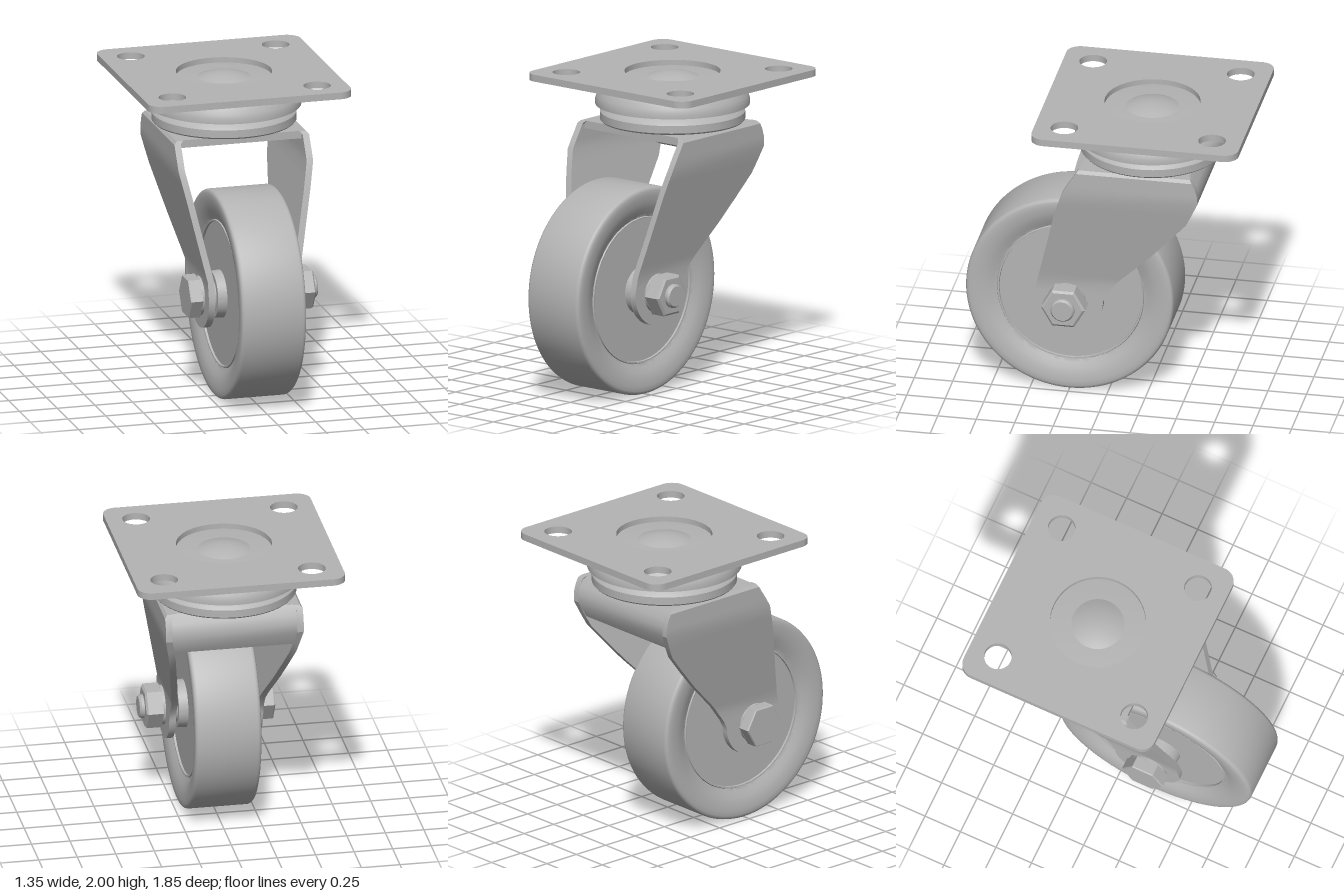
import * as THREE from 'three';
import { toCreasedNormals } from 'three/addons/utils/BufferGeometryUtils.js';

const steel = new THREE.MeshStandardMaterial({ color: 0xb4b4b4 });
steel.name = 'grey steel';

const SWIVEL_Z = -0.25, AXLE_Y = 0.675, AXLE_Z = 0.25;

function part(name, geometry, crease = 0.5) {
  const mesh = new THREE.Mesh(toCreasedNormals(geometry, crease), steel);
  mesh.name = name;
  return mesh;
}

// Turned part about the vertical swivel axis; profile runs bottom to top
function turned(name, profile, segments = 64) {
  const g = new THREE.LatheGeometry(profile.map(p => new THREE.Vector2(...p)), segments);
  const mesh = part(name, g);
  mesh.position.z = SWIVEL_Z;
  return mesh;
}

// Turned part about the axle; profile is [radius, x] with x rising
function axlePart(name, profile, segments = 48) {
  const g = new THREE.LatheGeometry(profile.map(p => new THREE.Vector2(...p)), segments);
  g.rotateZ(-Math.PI / 2);
  const mesh = part(name, g);
  mesh.position.set(0, AXLE_Y, AXLE_Z);
  return mesh;
}

// Rounded mounting plate with four bolt holes and a central opening
function mountingPlate() {
  const w = 0.673, r = 0.09, s = new THREE.Shape();
  [[1, 1, 0], [-1, 1, 0.5], [-1, -1, 1], [1, -1, 1.5]].forEach(([x, y, a]) =>
    s.absarc(x * (w - r), y * (w - r), r, a * Math.PI, (a + 0.5) * Math.PI, false));
  const hole = (x, y, radius) => s.holes.push(new THREE.Path().absarc(x, y, radius, 0, Math.PI * 2, true));
  for (const x of [-0.48, 0.48]) for (const y of [-0.48, 0.48]) hole(x, y, 0.088);
  hole(0, 0, 0.307);
  const g = new THREE.ExtrudeGeometry(s, { depth: 0.045, bevelEnabled: false, curveSegments: 24 });
  g.rotateX(-Math.PI / 2);
  const mesh = part('mountingPlate', g);
  mesh.position.set(0, 1.955, SWIVEL_Z);
  return mesh;
}

// Outer face of a fork leg at a given height
function legX(y) {
  if (y > 1.66) return 0.45 - (y - 1.66);
  if (y > 1.51) return 0.447;
  return 0.305 + 0.142 * Math.max(0, (y - 0.81) / 0.7);
}

// Bent fork leg lofted from horizontal sections [y, front z, back z]
function forkLeg(side) {
  const rows = [];
  for (let i = 0; i <= 12; i++) {
    const a = (i / 12) * Math.PI / 2, dz = 0.226 * Math.sin(a) + 0.001;
    rows.push([0.69 - 0.225 * Math.cos(a), 0.24 + dz, 0.24 - dz]);
  }
  rows.push([0.74, 0.457, -0.01], [0.81, 0.44, -0.06], [0.87, 0.425, -0.11], [0.95, 0.405, -0.19],
    [1.06, 0.378, -0.3], [1.2, 0.344, -0.425], [1.34, 0.31, -0.545], [1.42, 0.285, -0.585],
    [1.51, 0.255, -0.625], [1.57, 0.22, -0.625], [1.62, 0.187, -0.61], [1.66, 0.163, -0.59], [1.68, 0.15, -0.575]);
  const pos = [], idx = [];
  for (const [y, f, b] of rows) {
    const o = legX(y), i = Math.min(o, 0.447) - 0.043;
    pos.push(o * side, y, f, o * side, y, b, i * side, y, b, i * side, y, f);
  }
  const quad = (a, b, c, d) => side > 0 ? idx.push(a, b, c, a, c, d) : idx.push(a, c, b, a, d, c);
  for (let r = 0; r < rows.length - 1; r++)
    for (let k = 0; k < 4; k++) {
      const n = (k + 1) % 4;
      quad(r * 4 + k, r * 4 + n, r * 4 + 4 + n, r * 4 + 4 + k);
    }
  const t = (rows.length - 1) * 4;
  quad(3, 2, 1, 0);
  quad(t, t + 1, t + 2, t + 3);
  const g = new THREE.BufferGeometry();
  g.setAttribute('position', new THREE.Float32BufferAttribute(pos, 3));
  g.setIndex(idx);
  return part(side > 0 ? 'leftForkLeg' : 'rightForkLeg', g, 0.4);
}

// Fork crown: top plate folded down into the rear wall, as a [z, y] section
function forkCrown() {
  const s = new THREE.Shape([[0.14, 1.63], [0.14, 1.68], [-0.565, 1.68], [-0.61, 1.62], [-0.625, 1.57],
    [-0.625, 1.51], [-0.575, 1.41], [-0.535, 1.43], [-0.58, 1.515], [-0.58, 1.57], [-0.565, 1.605], [-0.545, 1.63]]
    .map(p => new THREE.Vector2(...p)));
  const g = new THREE.ExtrudeGeometry(s, { depth: 0.81, bevelEnabled: false });
  g.translate(0, 0, -0.405).rotateY(-Math.PI / 2);
  return part('forkCrown', g);
}

export function createModel() {
  const model = new THREE.Group();
  model.name = 'swivelCaster';
  model.add(mountingPlate());

  // Swivel bearing
  model.add(turned('upperRace', [[0, 1.83], [0.43, 1.83], [0.45, 1.79], [0.494, 1.79], [0.494, 1.82], [0.485, 1.85],
    [0.465, 1.885], [0.435, 1.925], [0.4, 1.955], [0.32, 1.965], [0, 1.965]]));
  model.add(turned('lowerRace', [[0, 1.68], [0.455, 1.68], [0.464, 1.69], [0.464, 1.74], [0.452, 1.755],
    [0.42, 1.778], [0.38, 1.77], [0.35, 1.77], [0.35, 1.84]]));
  const balls = new THREE.Group();
  balls.name = 'bearingBalls';
  const ballGeometry = new THREE.SphereGeometry(0.034, 14, 10);
  for (let i = 0; i < 28; i++) {
    const a = (i / 28) * Math.PI * 2;
    const ball = new THREE.Mesh(ballGeometry, steel);
    ball.name = 'bearingBall';
    ball.position.set(0.405 * Math.cos(a), 1.802, SWIVEL_Z + 0.405 * Math.sin(a));
    balls.add(ball);
  }
  model.add(balls);

  // Domed pin head above, flat pin head below the crown
  const dome = [];
  for (let i = 0; i <= 8; i++) {
    const t = i / 8;
    dome.push([0.175 * (1 - t), 1.963 + 0.035 * (1 - (1 - t) ** 2)]);
  }
  model.add(turned('pinHead', dome));
  model.add(turned('pinFoot', [[0, 1.595], [0.145, 1.595], [0.16, 1.605], [0.16, 1.64]]));

  // Fork
  model.add(forkCrown(), forkLeg(1), forkLeg(-1));

  // Wheel: hub boss, recessed disc, dished side and rounded tread, mirrored
  const half = [[0, 0.225], [0.15, 0.225], [0.155, 0.165], [0.462, 0.165], [0.464, 0.178], [0.474, 0.178],
    [0.478, 0.17], [0.5, 0.18], [0.535, 0.197], [0.575, 0.209], [0.62, 0.215], [0.65, 0.215],
    [0.663, 0.211], [0.671, 0.203], [0.675, 0.19]];
  const wheelProfile = [...half.map(([r, x]) => [r, -x]), ...half.slice().reverse()];
  model.add(axlePart('wheel', wheelProfile, 96));

  // Axle hardware
  for (const s of [-1, 1]) {
    const x0 = s > 0 ? 0.2 : -0.265;
    model.add(axlePart('spacer', [[0, x0], [0.115, x0], [0.115, x0 + 0.065], [0, x0 + 0.065]]));
    const x1 = s > 0 ? 0.3 : -0.325;
    model.add(axlePart('washer', [[0, x1], [0.127, x1], [0.127, x1 + 0.025], [0, x1 + 0.025]]));
  }
  model.add(axlePart('boltHead', [[0, -0.402], [0.138, -0.402], [0.144, -0.394], [0.144, -0.32], [0, -0.32]], 6));
  model.add(axlePart('nut', [[0, 0.322], [0.144, 0.322], [0.144, 0.42], [0.128, 0.432], [0, 0.432]], 6));
  model.add(axlePart('boltShaft', [[0, -0.35], [0.077, -0.35], [0.077, 0.45], [0.066, 0.463], [0, 0.463]], 32));
  return model;
}
